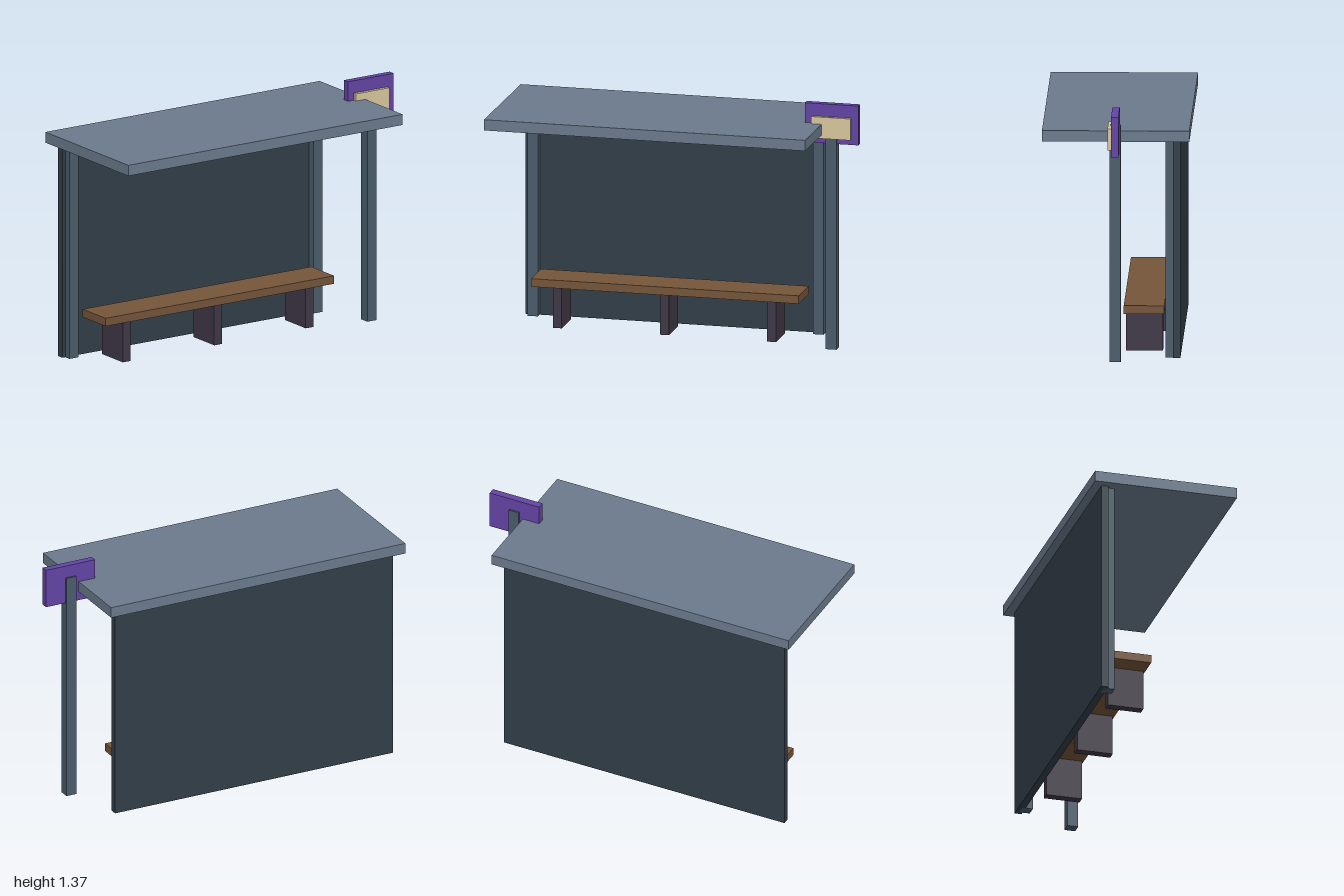
import * as THREE from 'three';

const COLORS = {
  roof: 0x6b7a8d, post: 0x4a5c6a, panel: 0x323e48, wood: 0x75553a,
  leg: 0x3f3846, sign: 0x6344a4, plate: 0xd8c79c,
};

export function createModel() {
  const model = new THREE.Group();
  model.name = 'busShelter';

  const materials = {};
  for (const key in COLORS) {
    materials[key] = new THREE.MeshStandardMaterial({ color: COLORS[key], flatShading: true });
  }

  // Box given by its extents along each axis
  function block(name, material, [x0, x1], [y0, y1], [z0, z1]) {
    const mesh = new THREE.Mesh(
      new THREE.BoxGeometry(x1 - x0, y1 - y0, z1 - z0), materials[material]);
    mesh.position.set((x0 + x1) / 2, (y0 + y1) / 2, (z0 + z1) / 2);
    mesh.name = name;
    model.add(mesh);
  }

  // Shelter: roof, back wall and its two posts
  block('roof', 'roof', [-1, 0.8], [1.2, 1.26], [-0.4, 0.4]);
  block('backPanel', 'panel', [-0.95, 0.75], [0, 1.2], [-0.35, -0.31]);
  for (const [name, x] of [['rightPost', -0.9], ['leftPost', 0.7]]) {
    block(name, 'post', [x - 0.03, x + 0.03], [0, 1.2], [-0.33, -0.27]);
  }

  // Bench: seat on three slab legs
  block('benchSeat', 'wood', [-0.85, 0.65], [0.225, 0.27], [-0.26, -0.04]);
  for (const x of [-0.705, -0.105, 0.495]) {
    block('benchLeg', 'leg', [x - 0.025, x + 0.025], [0, 0.225], [-0.25, -0.05]);
  }

  // Stop sign: pole, board and plate on its front
  block('signPole', 'post', [0.82, 0.88], [0, 1.3], [-0.03, 0.03]);
  block('signBoard', 'sign', [0.7, 1], [1.15, 1.37], [-0.02, 0.02]);
  block('signPlate', 'plate', [0.74, 0.96], [1.18, 1.3], [0.02, 0.04]);

  return model;
}
